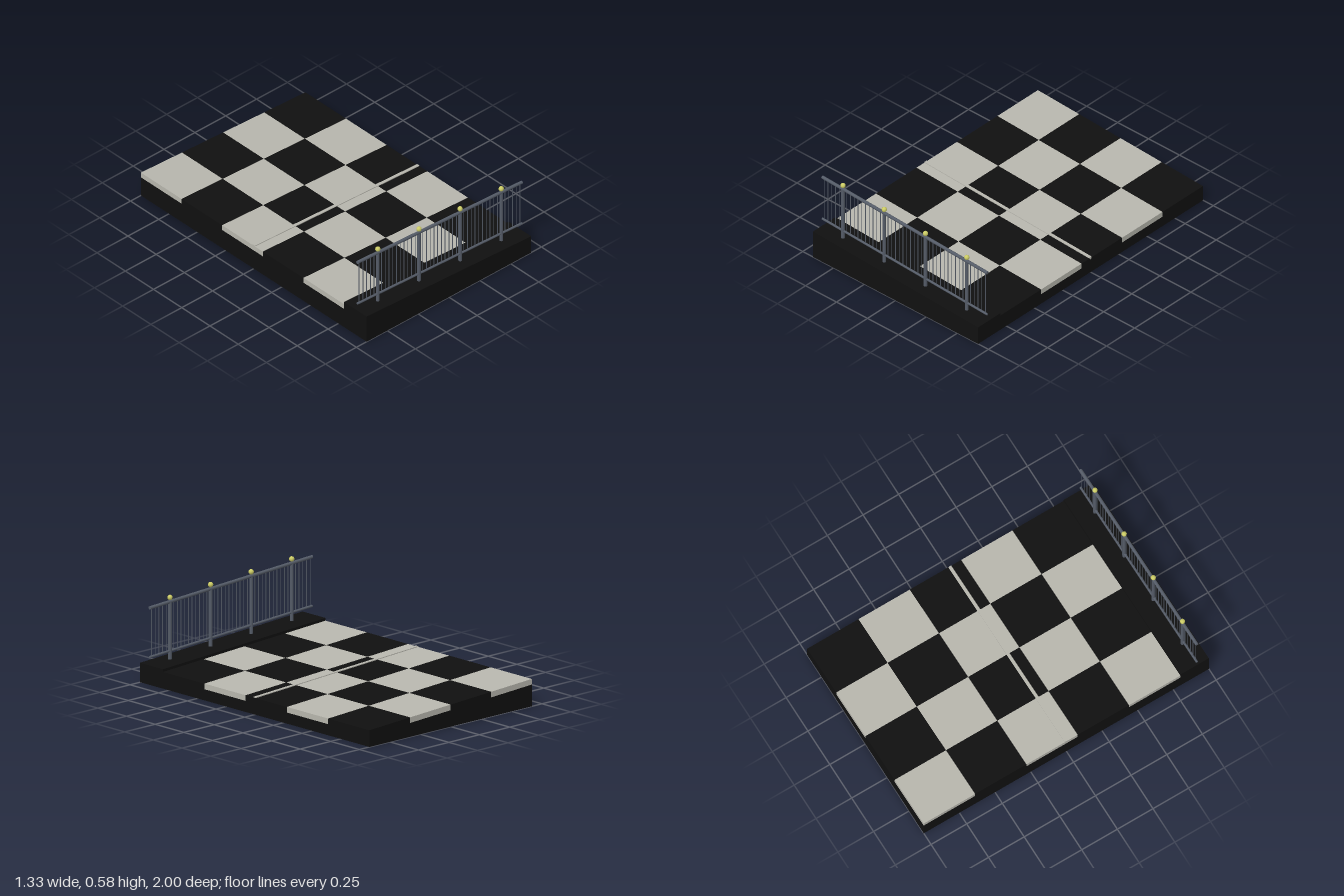
import * as THREE from 'three';

const SLOPE = -0.0495, HALF = 2 / 3;

export function createModel() {
  const group = new THREE.Group();
  group.name = 'bridgeSection';
  const mat = (name, color) => {
    const m = new THREE.MeshStandardMaterial({ color });
    m.name = name;
    return m;
  };
  const black = mat('black stone', 0x101010);
  const pale = mat('pale stone', 0xb8b7ae);
  const iron = mat('iron', 0x555c68);
  const gold = mat('gold', 0xcccc66);

  const add = (name, geometry, material, x = 0, y = 0, z = 0) => {
    const mesh = new THREE.Mesh(geometry, material);
    mesh.name = name;
    mesh.position.set(x, y, z);
    group.add(mesh);
    return mesh;
  };

  // Block whose top follows the slope; top is its height at x = 0.
  // Without a thickness it reaches down to a flat bottom at y = 0.
  const slopedBlock = (name, material, x0, x1, z0, z1, top, thickness) => {
    const g = new THREE.BoxGeometry(x1 - x0, 1, z1 - z0);
    g.translate((x0 + x1) / 2, 0, (z0 + z1) / 2);
    const p = g.attributes.position;
    for (let i = 0; i < p.count; i++) {
      const upper = top + SLOPE * p.getX(i);
      const lower = thickness ? upper - thickness : 0;
      p.setY(i, p.getY(i) > 0 ? upper : lower);
    }
    g.computeVertexNormals();
    return add(name, g, material);
  };

  // Foundation and raised kerb
  const road = 0.137, tile = 0.035, kerb = 0.154;
  slopedBlock('foundation', black, -HALF, HALF, -1, 0.8, road - tile);
  slopedBlock('kerb', black, -HALF, HALF, 0.8, 1, kerb);

  // Chequered paving
  for (let row = 0; row < 5; row++) {
    for (let col = 0; col < 4; col++) {
      const x = -HALF + col / 3, z = -1 + row * 0.36;
      const light = (row + col) % 2 === 0;
      slopedBlock(light ? 'paleTile' : 'blackTile', light ? pale : black,
        x, x + 1 / 3, z, z + 0.36, road, tile);
    }
  }
  slopedBlock('centreStrip', pale, -HALF, HALF, -0.01, 0.01, road + 0.005, 0.014);

  // Railing: sloping bars
  const railZ = 0.917, topRail = 0.51, lowRail = 0.205;
  const bar = (name, y, r) => {
    const length = 2 * HALF * Math.hypot(1, SLOPE);
    const m = add(name, new THREE.CylinderGeometry(r, r, length, 10), iron, 0, y, railZ);
    m.rotation.z = Math.atan(SLOPE) + Math.PI / 2;
  };
  bar('topRail', topRail, 0.0105);
  bar('bottomRail', lowRail, 0.0075);

  // Upright between two heights given at x = 0
  const upright = (name, x, low, high, r, sides) => add(name,
    new THREE.CylinderGeometry(r, r, high - low, sides), iron,
    x, (low + high) / 2 + SLOPE * x, railZ);

  // Posts with ball finials
  for (const x of [-0.5, -1 / 6, 1 / 6, 0.5]) {
    upright('post', x, kerb - 0.005, topRail, 0.0115, 10);
    add('finial', new THREE.SphereGeometry(0.0165, 10, 8), gold,
      x, topRail + 0.026 + SLOPE * x, railZ);
  }

  // Balusters, leaving out those that fall on a post
  for (let i = 0; i < 44; i++) {
    if (i % 11 === 5) continue;
    upright('baluster', -HALF + (i + 0.5) / 33, lowRail, topRail, 0.0025, 6);
  }
  return group;
}
